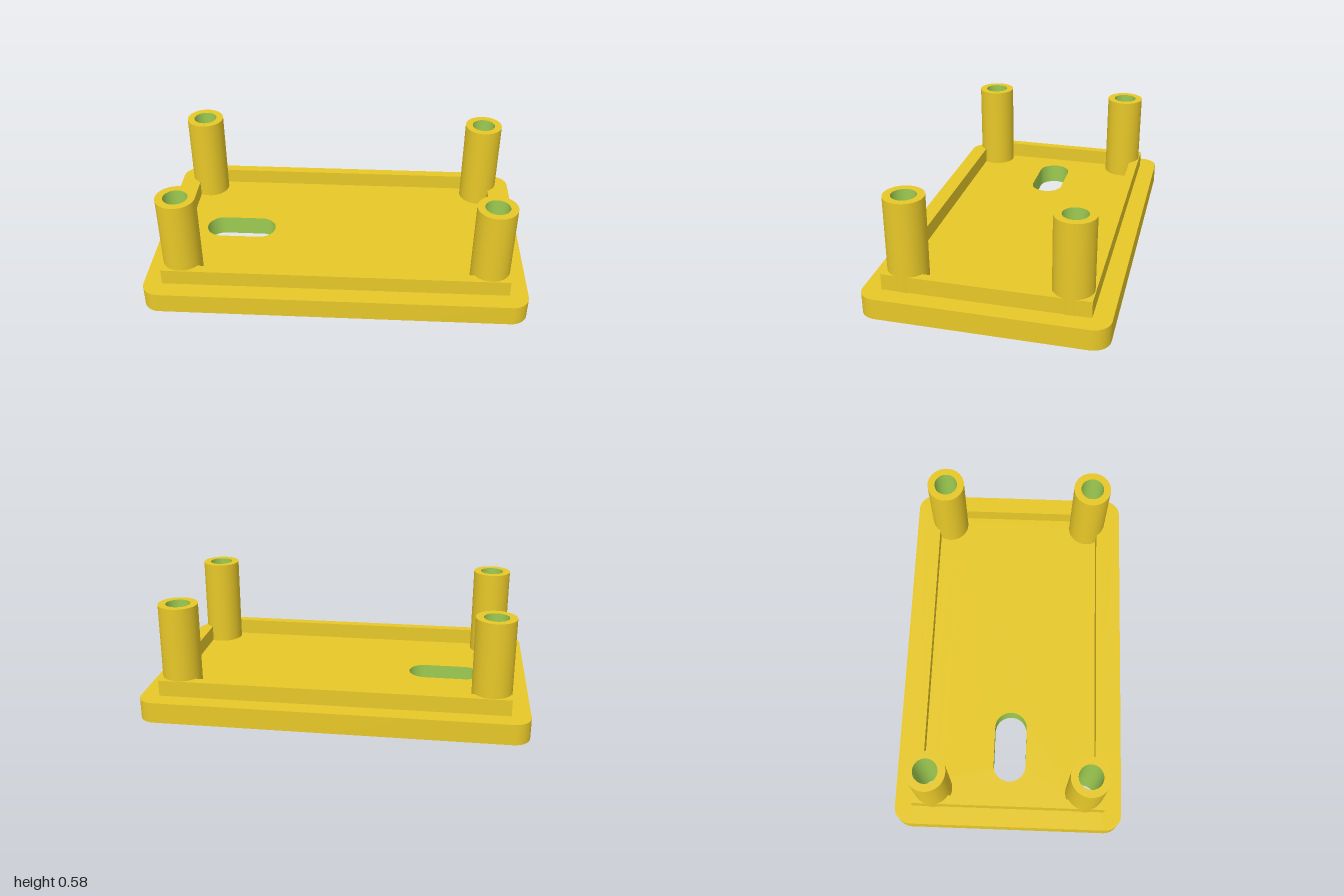
import * as THREE from 'three';
import { toCreasedNormals } from 'three/addons/utils/BufferGeometryUtils.js';

const HX = 1, HZ = 0.612, CORNER = 0.09, BASE = 0.11;   // plate
const RIM_TOP = 0.195;                                  // locating rim
const POST_X = 0.805, POST_Z = 0.41, POST_R = 0.102, BORE_R = 0.063, POST_TOP = 0.585;
const SEG = 48;

function roundedRect(T, x0, x1, hy, r) {
  const s = new T(), h = Math.PI / 2;
  s.absarc(x1 - r, hy - r, r, 0, h);
  s.absarc(x0 + r, hy - r, r, h, 2 * h);
  s.absarc(x0 + r, -hy + r, r, 2 * h, 3 * h);
  s.absarc(x1 - r, -hy + r, r, 3 * h, 4 * h);
  s.closePath();
  return s;
}

// Open vertical wall following a closed outline
function wallGeometry(path, y0, y1) {
  const pts = path.getPoints(12), pos = [];
  for (let i = 0; i < pts.length; i++) {
    const a = pts[i], b = pts[(i + 1) % pts.length];
    if (a.distanceTo(b) < 1e-5) continue;
    pos.push(a.x, y0, -a.y, b.x, y0, -b.y, b.x, y1, -b.y);
    pos.push(a.x, y0, -a.y, b.x, y1, -b.y, a.x, y1, -a.y);
  }
  const g = new THREE.BufferGeometry();
  g.setAttribute('position', new THREE.Float32BufferAttribute(pos, 3));
  return toCreasedNormals(g, 0.5);
}

export function createModel() {
  const gold = new THREE.MeshStandardMaterial({ color: 0xf9d72c });
  gold.name = 'gold';
  const green = new THREE.MeshStandardMaterial({ color: 0x9dcb51, side: THREE.DoubleSide });
  green.name = 'green';

  const model = new THREE.Group();
  model.name = 'standoffLid';
  const add = (name, geometry, material, parent = model) => {
    const m = new THREE.Mesh(geometry, material);
    m.name = name;
    parent.add(m);
    return m;
  };
  const corners = [[1, 1], [-1, 1], [-1, -1], [1, -1]];

  // Base plate: outer wall plus pierced top and bottom faces
  const outline = roundedRect(THREE.Shape, -HX, HX, HZ, CORNER);
  const slot = roundedRect(THREE.Path, -0.755, -0.367, 0.088, 0.0879);
  add('plateEdge', wallGeometry(outline, 0, BASE), gold);
  outline.holes.push(slot);
  for (const [sx, sz] of corners) {
    outline.holes.push(new THREE.Path().absarc(sx * POST_X, sz * POST_Z, BORE_R, 0, Math.PI * 2));
  }
  const face = new THREE.ShapeGeometry(outline, 24);
  add('plateTop', face.clone().rotateX(-Math.PI / 2).translate(0, BASE, 0), gold);
  add('plateBottom', face.clone().rotateX(Math.PI / 2), gold);
  add('slotWall', wallGeometry(slot, 0, BASE), green);

  // Rim: rectangular frame, relieved inside the posts so the bores stay clear
  const rim = new THREE.Shape();
  [[0.903, 0.517], [-0.903, 0.517], [-0.903, -0.517], [0.903, -0.517]]
    .forEach(([x, y], i) => (i ? rim.lineTo(x, y) : rim.moveTo(x, y)));
  rim.closePath();
  const inner = new THREE.Path(), r = 0.08;
  const aStart = -Math.acos((0.855 - POST_X) / r);
  const aEnd = Math.PI - Math.asin((0.466 - POST_Z) / r);
  corners.forEach(([sx, sz], i) => {
    // Mirrored corners run their arc from the other end
    const map = a => Math.atan2(sz * Math.sin(a), sx * Math.cos(a));
    const odd = i % 2 === 1;
    inner.absarc(sx * POST_X, sz * POST_Z, r, map(odd ? aEnd : aStart), map(odd ? aStart : aEnd), false);
  });
  inner.closePath();
  rim.holes.push(inner);
  add('rim', new THREE.ExtrudeGeometry(rim, { depth: RIM_TOP - BASE, bevelEnabled: false, curveSegments: 12 })
    .rotateX(-Math.PI / 2).translate(0, BASE, 0), gold);

  // Hollow corner posts; each bore runs right through the plate
  for (const [sx, sz] of corners) {
    const post = new THREE.Group();
    post.name = (sz > 0 ? 'front' : 'back') + (sx > 0 ? 'Left' : 'Right') + 'Post';
    post.position.set(sx * POST_X, 0, sz * POST_Z);
    const h = POST_TOP - BASE;
    add('postOuter', new THREE.CylinderGeometry(POST_R, POST_R, h, SEG, 1, true)
      .translate(0, BASE + h / 2, 0), gold, post);
    add('postTop', new THREE.RingGeometry(BORE_R, POST_R, SEG)
      .rotateX(-Math.PI / 2).translate(0, POST_TOP, 0), gold, post);
    add('postBore', new THREE.CylinderGeometry(BORE_R, BORE_R, POST_TOP, SEG, 1, true)
      .translate(0, POST_TOP / 2, 0), green, post);
    model.add(post);
  }
  return model;
}
